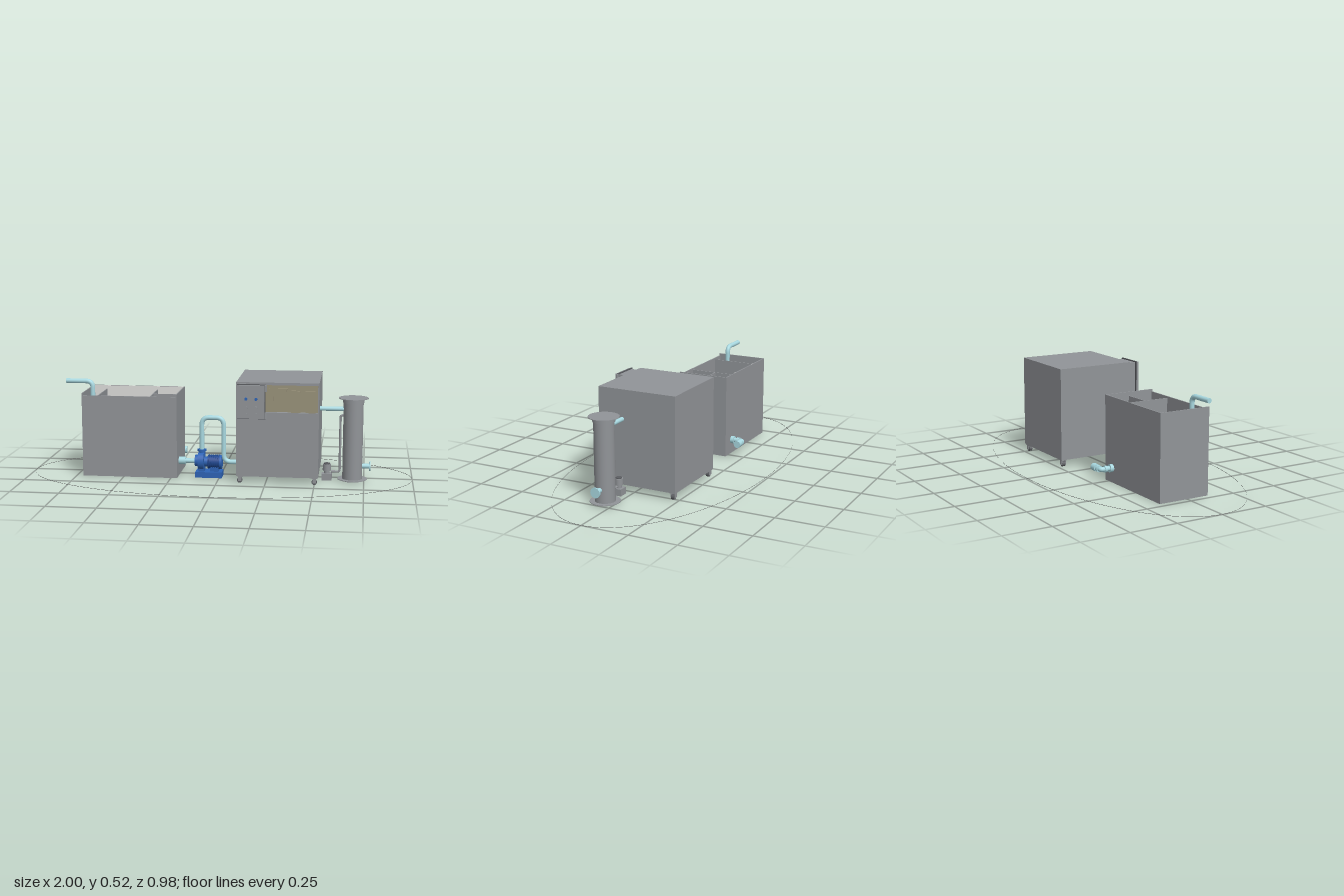
import * as THREE from 'three';

const mat = (name, color, side = THREE.FrontSide) => {
  const m = new THREE.MeshStandardMaterial({ color, side });
  m.name = name;
  return m;
};

export function createModel() {
  const root = new THREE.Group();
  root.name = 'waterTreatmentPlant';
  const steel = mat('steel grey', 0x919498);
  const dark = mat('dark grey', 0x5c5e62);
  const pale = mat('pale grey', 0xdcdcda);
  const cyan = mat('pipe cyan', 0xa8d8e0);
  const blue = mat('pump blue', 0x2d63b5);
  const navy = mat('motor blue', 0x1f478f);
  const olive = mat('panel olive', 0x99927a);
  const line = mat('boundary grey', 0x6a6a6a, THREE.DoubleSide);

  const add = (name, geo, m, x = 0, y = 0, z = 0, parent = root) => {
    const mesh = new THREE.Mesh(geo, m);
    mesh.name = name;
    mesh.position.set(x, y, z);
    parent.add(mesh);
    return mesh;
  };
  // box from min/max limits
  const box = (name, m, x0, x1, y0, y1, z0, z1) =>
    add(name, new THREE.BoxGeometry(x1 - x0, y1 - y0, z1 - z0), m, (x0 + x1) / 2, (y0 + y1) / 2, (z0 + z1) / 2);
  // cylinder along an axis, centred on a point
  const cyl = (name, m, axis, r, len, x, y, z, seg = 28) => {
    const g = new THREE.CylinderGeometry(r, r, len, seg);
    if (axis === 'x') g.rotateZ(-Math.PI / 2);
    if (axis === 'z') g.rotateX(Math.PI / 2);
    return add(name, g, m, x, y, z);
  };
  // pipe through corner points with rounded bends and capped ends
  const pipe = (name, m, pts, r, bend) => {
    const v = pts.map((p) => new THREE.Vector3(...p));
    const path = new THREE.CurvePath();
    let last = v[0];
    for (let i = 1; i < v.length - 1; i++) {
      const a = v[i].clone().add(v[i - 1].clone().sub(v[i]).setLength(bend));
      const b = v[i].clone().add(v[i + 1].clone().sub(v[i]).setLength(bend));
      path.add(new THREE.LineCurve3(last, a));
      path.add(new THREE.QuadraticBezierCurve3(a, v[i], b));
      last = b;
    }
    path.add(new THREE.LineCurve3(last, v[v.length - 1]));
    add(name, new THREE.TubeGeometry(path, 90, r, 16), m);
    [[0, 1], [v.length - 1, v.length - 2]].forEach(([e, n]) => {
      const cap = add(name + 'End', new THREE.CircleGeometry(r, 16), m, ...v[e].toArray());
      cap.lookAt(v[e].clone().multiplyScalar(2).sub(v[n]));
    });
  };

  // boundary line on the ground
  const ring = add('boundaryLine', new THREE.CylinderGeometry(1, 1, 0.002, 128, 1, true), line, 0, 0.001, 0);
  ring.scale.z = 0.49;

  // open tank
  const t = 0.006;
  box('tankFloor', steel, -0.717, -0.217, 0, t, -0.157, 0.121);
  box('tankFrontWall', steel, -0.717, -0.217, 0, 0.428, 0.121 - t, 0.121);
  box('tankBackWall', steel, -0.717, -0.217, 0, 0.44, -0.157, -0.157 + t);
  box('tankBackLining', pale, -0.71, -0.224, 0.335, 0.439, -0.152, -0.149);
  box('tankLeftEnd', steel, -0.717, -0.717 + t, 0, 0.44, -0.157, 0.121);
  box('tankRightEnd', steel, -0.217 - t, -0.217, 0, 0.44, -0.157, 0.121);
  box('tankPartition', steel, -0.645, -0.64, 0, 0.42, -0.149, 0.116);
  box('tankPartition', steel, -0.368, -0.363, 0, 0.42, -0.149, 0.116);
  box('tankCrossPartition', steel, -0.365, -0.22, 0, 0.42, -0.022, -0.017);
  box('tankFloorLining', pale, -0.64, -0.368, t, t + 0.004, -0.15, 0.115);

  // inner cover with a rounded opening
  const cover = new THREE.Shape();
  cover.moveTo(-0.14, -0.133).lineTo(0.132, -0.133).lineTo(0.132, 0.133).lineTo(-0.14, 0.133).closePath();
  const hatch = new THREE.Path();
  const hw = 0.075, hh = 0.082, q = 0.045;
  hatch.moveTo(-hw + q, -hh).lineTo(hw - q, -hh).quadraticCurveTo(hw, -hh, hw, -hh + q)
    .lineTo(hw, hh - q).quadraticCurveTo(hw, hh, hw - q, hh).lineTo(-hw + q, hh)
    .quadraticCurveTo(-hw, hh, -hw, hh - q).lineTo(-hw, -hh + q).quadraticCurveTo(-hw, -hh, -hw + q, -hh);
  cover.holes.push(hatch);
  const coverGeo = new THREE.ExtrudeGeometry(cover, { depth: 0.008, bevelEnabled: false });
  coverGeo.rotateX(-Math.PI / 2);
  add('tankCover', coverGeo, steel, -0.5, 0.325, -0.018);
  for (const x of [-0.607, -0.503, -0.393])
    for (const z of [-0.13, -0.02, 0.088])
      if (x !== -0.503 || z !== -0.02) cyl('coverBolt', navy, 'y', 0.007, 0.008, x, 0.336, z, 8);

  // tank pipes
  pipe('inletPipe', cyan, [[-0.813, 0.493, 0.051], [-0.673, 0.493, 0.051], [-0.673, 0.4, 0.051]], 0.0125, 0.035);
  const dz = -0.224;
  pipe('drainPipe', cyan, [[-0.288, 0.077, -0.155], [-0.288, 0.077, dz], [-0.22, 0.077, dz]], 0.0125, 0.012);
  cyl('drainFlange', cyan, 'z', 0.02, 0.018, -0.288, 0.077, -0.168);
  cyl('drainElbowCollar', cyan, 'z', 0.017, 0.014, -0.288, 0.077, -0.2);
  cyl('drainElbowCollar', cyan, 'x', 0.017, 0.016, -0.265, 0.077, dz);
  cyl('drainCap', cyan, 'x', 0.019, 0.035, -0.234, 0.077, dz);

  // transfer pump
  const pz = 0.052;
  box('pumpBase', blue, -0.125, 0.014, 0, 0.03, 0.012, 0.096);
  cyl('pumpVolute', blue, 'x', 0.048, 0.03, -0.097, 0.082, pz);
  cyl('pumpInletFlange', blue, 'x', 0.03, 0.02, -0.12, 0.082, pz);
  cyl('pumpOutletNeck', blue, 'y', 0.018, 0.05, -0.095, 0.12, pz);
  cyl('pumpOutletFlange', blue, 'y', 0.024, 0.008, -0.095, 0.14, pz);
  box('pumpFoot', blue, -0.11, -0.08, 0.028, 0.06, 0.022, 0.082);
  cyl('pumpCoupling', blue, 'x', 0.026, 0.03, -0.07, 0.078, pz);
  cyl('motorBody', navy, 'x', 0.034, 0.07, -0.028, 0.078, pz);
  for (let i = 0; i < 6; i++) cyl('motorFin', navy, 'x', 0.038, 0.005, -0.057 + i * 0.011, 0.078, pz);
  cyl('motorFanCover', blue, 'x', 0.037, 0.012, 0.006, 0.078, pz);
  box('motorFoot', blue, -0.05, -0.005, 0.028, 0.055, 0.025, 0.079);
  pipe('suctionPipe', cyan, [[-0.22, 0.08, pz], [-0.12, 0.08, pz]], 0.0125, 0.02);
  cyl('suctionValve', cyan, 'x', 0.02, 0.036, -0.198, 0.08, pz);
  pipe('dischargePipe', cyan,
    [[-0.095, 0.13, pz], [-0.095, 0.313, pz], [0.02, 0.313, pz], [0.02, 0.08, pz], [0.105, 0.08, pz]], 0.0125, 0.04);

  // treatment cabinet with recessed instrument bay
  box('cabinetBody', steel, 0.1, 0.519, 0.037, 0.525, -0.236, 0.155);
  const face = new THREE.Shape();
  face.moveTo(0.1, 0.037).lineTo(0.519, 0.037).lineTo(0.519, 0.525).lineTo(0.1, 0.525).closePath();
  const bay = new THREE.Path();
  bay.moveTo(0.235, 0.372).lineTo(0.235, 0.512).lineTo(0.513, 0.512).lineTo(0.513, 0.372).closePath();
  face.holes.push(bay);
  add('cabinetFront', new THREE.ExtrudeGeometry(face, { depth: 0.032, bevelEnabled: false }), steel, 0, 0, 0.155);
  box('bayBackPlate', olive, 0.236, 0.512, 0.373, 0.511, 0.154, 0.172);
  box('bayRail', olive, 0.265, 0.36, 0.488, 0.494, 0.172, 0.182);
  box('bayPost', olive, 0.283, 0.29, 0.43, 0.492, 0.172, 0.183);
  box('bayPost', olive, 0.345, 0.352, 0.46, 0.492, 0.172, 0.183);
  box('bayInstrument', olive, 0.378, 0.425, 0.373, 0.484, 0.172, 0.186);
  box('bayInstrument', olive, 0.45, 0.5, 0.373, 0.484, 0.172, 0.186);

  // control box
  box('controlBox', steel, 0.116, 0.246, 0.352, 0.517, 0.18, 0.232);
  box('controlDoor', steel, 0.112, 0.248, 0.35, 0.519, 0.236, 0.25);
  box('controlDoorSeal', dark, 0.109, 0.253, 0.346, 0.523, 0.231, 0.237);
  for (const y of [0.365, 0.503]) cyl('controlHinge', steel, 'y', 0.006, 0.034, 0.253, y, 0.235, 12);
  for (const y of [0.45, 0.405, 0.37])
    for (const x of [0.156, 0.206]) cyl('controlButton', y === 0.45 ? blue : steel, 'z', 0.0075, 0.008, x, y, 0.252, 16);

  // swivel casters
  for (const x of [0.118, 0.5])
    for (const z of [0.17, -0.217]) {
      box('casterPlate', steel, x - 0.014, x + 0.014, 0.033, 0.038, z - 0.014, z + 0.014);
      for (const s of [-1, 1]) box('casterFork', steel, x - 0.009, x + 0.009, 0.01, 0.034, z + s * 0.011 - 0.002, z + s * 0.011 + 0.002);
      cyl('casterWheel', dark, 'z', 0.0135, 0.016, x, 0.0135, z, 18);
    }

  // filter column
  const cx = 0.69, cz = 0.055;
  cyl('columnBody', steel, 'y', 0.051, 0.43, cx, 0.218, cz, 40);
  cyl('columnTopCollar', steel, 'y', 0.055, 0.022, cx, 0.421, cz, 40);
  cyl('columnTopFlange', steel, 'y', 0.076, 0.003, cx, 0.433, cz, 40);
  cyl('columnBottomFlange', steel, 'y', 0.076, 0.003, cx, 0.01, cz, 40);
  cyl('columnFoot', steel, 'y', 0.05, 0.01, cx, 0.005, cz, 40);
  pipe('columnFeedPipe', cyan, [[0.51, 0.375, cz], [0.65, 0.375, cz]], 0.0115, 0.02);
  pipe('columnOutlet', cyan, [[0.73, 0.078, cz], [0.782, 0.078, cz]], 0.0125, 0.02);
  cyl('outletFlange', cyan, 'x', 0.026, 0.007, 0.78, 0.078, cz);

  // dosing pump and its riser
  box('dosingBase', steel, 0.533, 0.585, 0, 0.035, 0.03, 0.076);
  cyl('dosingNeck', steel, 'y', 0.014, 0.02, 0.559, 0.044, cz);
  cyl('dosingMotor', steel, 'y', 0.021, 0.034, 0.559, 0.067, cz);
  cyl('dosingCap', dark, 'y', 0.016, 0.006, 0.559, 0.086, cz);
  pipe('dosingRiser', steel,
    [[0.58, 0.045, cz], [0.625, 0.045, cz], [0.625, 0.342, cz], [0.65, 0.342, cz]], 0.006, 0.012);
  return root;
}
